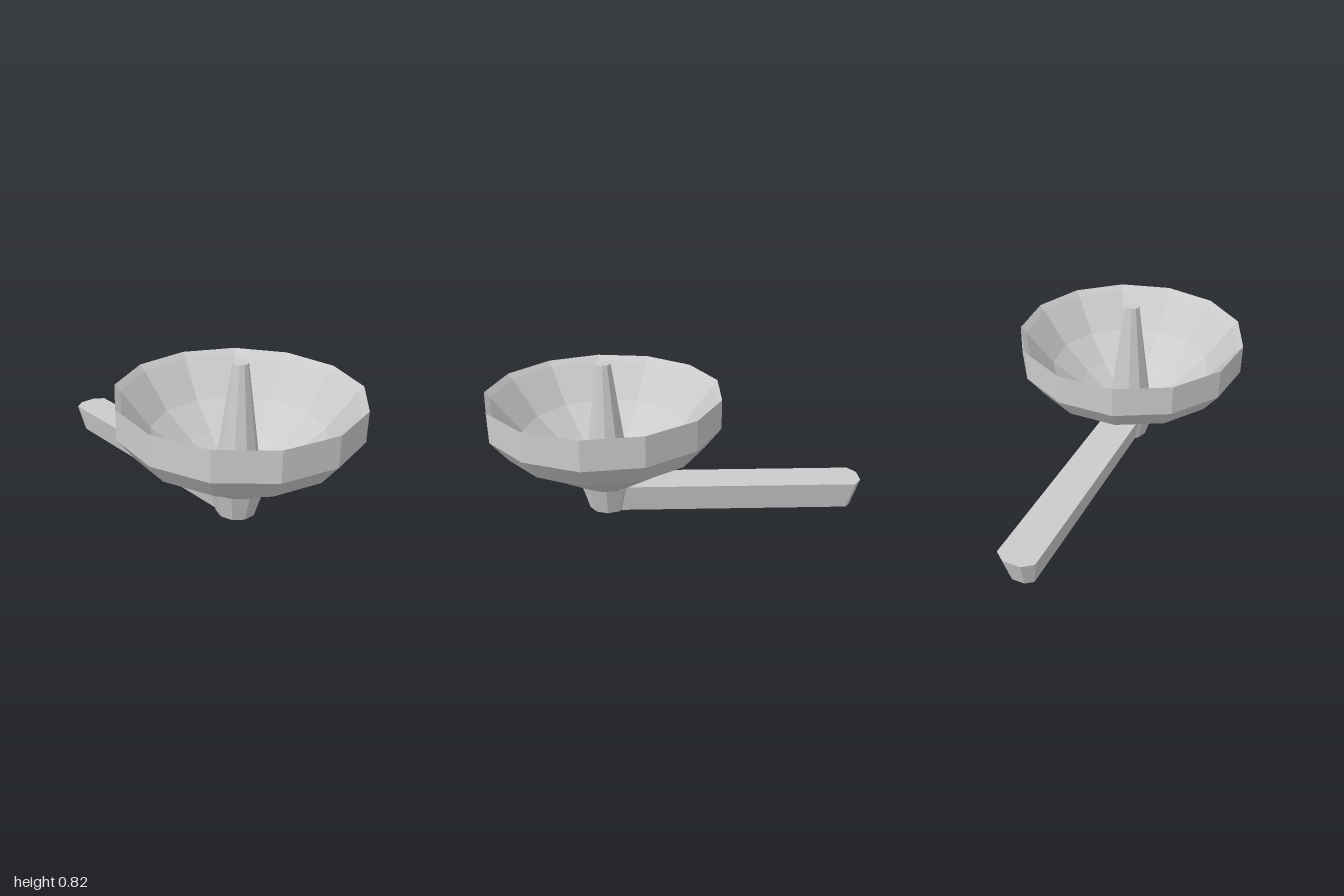
import * as THREE from 'three';

const material = new THREE.MeshStandardMaterial({ color: 0xcccccc, flatShading: true });
const AXIS_Z = 0.38;

export function createModel() {
  const group = new THREE.Group();
  const add = (name, geometry, y = 0, z = AXIS_Z) => {
    const mesh = new THREE.Mesh(geometry, material);
    mesh.name = name;
    mesh.position.set(0, y, z);
    group.add(mesh);
  };

  // Ten-sided tapered post with a flat side to the front
  const post = (top, bottom, height) =>
    new THREE.CylinderGeometry(top, bottom, height, 10, 1, false, Math.PI / 10);

  // Thirteen-sided bowl: outer wall upward, bevelled rim, inner wall downward
  const profile = [
    [0, 0.155], [0.15, 0.155], [0.345, 0.283], [0.534, 0.4], [0.619, 0.513], [0.619, 0.67],
    [0.59, 0.64], [0.444, 0.45], [0.29, 0.32], [0.125, 0.2], [0, 0.18],
  ].map(([r, y]) => new THREE.Vector2(r, y));
  add('bowl', new THREE.LatheGeometry(profile, 13));

  // Foot below the bowl, and the spindle inside it
  add('foot', post(0.15, 0.105, 0.155), 0.0775);
  add('spindle', post(0.04, 0.127, 0.64), 0.5);

  // Handle: bar tapering downward, with a three-facet end
  add('handle', createHandle(), 0, 0);
  return group;
}

function createHandle() {
  // Outline at one height, scaled toward the bottom
  const ring = (y, scale) => {
    const end = -0.857;
    return [
      [-0.1, AXIS_Z], [0.1, AXIS_Z], [0.1, end - 0.103 * scale], [0.046, end - 0.143 * scale],
      [-0.046, end - 0.143 * scale], [-0.1, end - 0.103 * scale],
    ].map(([x, z]) => [x * scale, y, z]);
  };
  const top = ring(0.155, 1);
  const bottom = ring(0, 0.7);
  const n = top.length;
  const positions = [];
  const tri = (a, b, c) => positions.push(...a, ...b, ...c);
  for (let i = 0; i < n; i++) {
    const j = (i + 1) % n;
    tri(bottom[i], bottom[j], top[j]);
    tri(bottom[i], top[j], top[i]);
    if (i > 0 && i < n - 1) {
      tri(top[0], top[i], top[j]);
      tri(bottom[0], bottom[j], bottom[i]);
    }
  }
  const geometry = new THREE.BufferGeometry();
  geometry.setAttribute('position', new THREE.Float32BufferAttribute(positions, 3));
  geometry.computeVertexNormals();
  return geometry;
}
